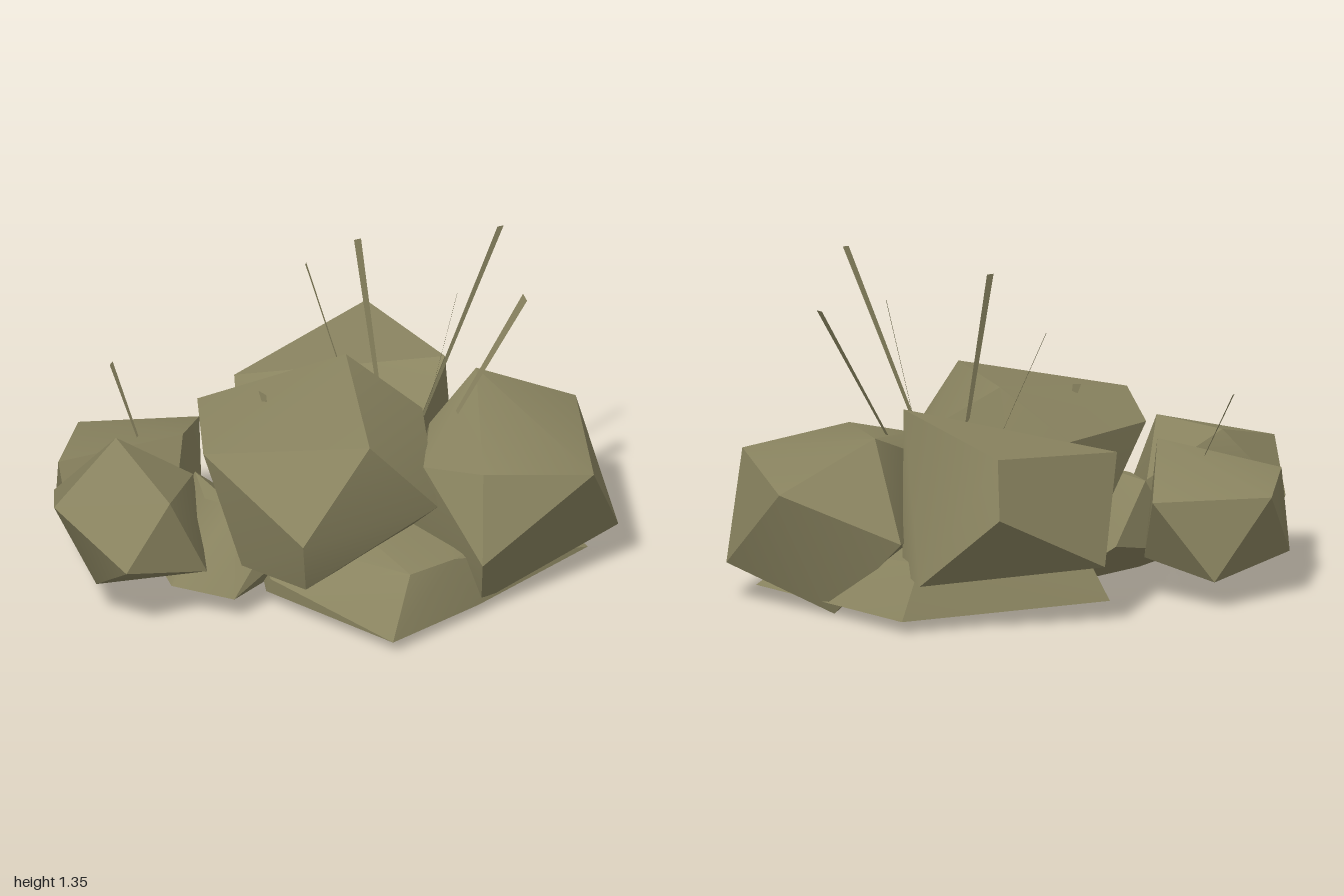
import * as THREE from 'three';
import { toCreasedNormals } from 'three/addons/utils/BufferGeometryUtils.js';
import { ConvexGeometry } from 'three/addons/geometries/ConvexGeometry.js';

const V = (p) => new THREE.Vector3(...p);

// Each boulder is the convex hull of a few corner points
const rocks = {
  centreRock: [
    [0.01, 0.805, -0.15], [0.32, 0.76, 0.41], [-0.29, 0.675, 0.53], [-0.48, 0.65, 0.1],
    [0.5, 0.43, 0.18], [0.15, 0.43, 0.65], [0.3, 0.62, -0.18], [-0.04, 0.6, -0.2],
    [-0.24, 0.6, -0.1], [0.13, 0.21, 0.57], [-0.15, 0.22, 0.5], [-0.3, 0.25, 0.1], [0.3, 0.2, 0],
  ],
  backRock: [
    [0.32, 0.75, -0.36], [-0.15, 0.68, -0.77], [-0.45, 0.6, -0.2], [-0.18, 0.47, -0.855],
    [-0.48, 0.23, -0.48], [0.14, 0.19, -0.8], [0.26, 0.2, -0.6], [0.3, 0.6, -0.18],
    [-0.37, 0.3, -0.06], [0.25, 0.15, -0.2],
  ],
  leftSideRock: [
    [0.66, 0.57, 0.13], [1, 0.51, -0.12], [0.4, 0.66, -0.47], [0.98, 0.145, -0.42],
    [0.7, 0.48, -0.71], [0.53, 0.01, -0.56], [0.7, 0.25, 0.24], [0.66, 0.05, 0.15],
    [0.42, 0.55, 0.12], [0.28, 0.25, 0], [0.26, 0.3, -0.62], [0.32, 0.55, -0.2],
  ],
  rightSideRock: [
    [-0.49, 0.56, 0.22], [-0.58, 0.41, -0.18], [-0.92, 0.44, 0.38], [-1, 0.17, 0.2],
    [-0.98, 0.41, 0.02], [-0.8, 0.11, -0.12], [-0.5, 0.16, 0], [-0.5, 0.2, 0.3], [-0.85, 0.15, 0.42],
  ],
  frontRock: [
    [-0.7, 0.575, 0.36], [-0.36, 0.535, 0.69], [-0.79, 0.47, 0.76], [-0.93, 0.33, 0.4],
    [-0.47, 0.3, 0.85], [-0.26, 0.21, 0.57], [-0.65, 0.14, 0.69], [-0.85, 0.17, 0.42],
    [-0.45, 0.4, 0.22], [-0.42, 0.2, 0.25],
  ],
  smallRock: [
    [-0.21, 0.4, 0.4], [-0.35, 0.39, 0.36], [-0.08, 0.29, 0.4], [-0.08, 0.17, 0.42],
    [-0.13, 0.005, 0.1], [-0.56, 0.11, 0.35], [-0.4, 0.12, 0.57], [-0.16, 0.1, 0.55],
    [-0.4, 0.05, 0.3], [-0.45, 0.4, 0.2], [-0.4, 0.2, -0.03],
  ],
  baseSlab: [
    [0.47, 0.05, 0.56], [0.66, 0.05, 0.18], [0.88, 0.055, -0.37], [0.21, 0.05, -0.79],
    [-0.45, 0.06, -0.3], [-0.1, 0.06, 0.38], [-0.08, 0.12, 0.39], [0.48, 0.26, 0.41],
    [0.59, 0.26, 0.24], [0.17, 0.25, -0.68], [-0.34, 0.25, -0.28], [0, 0.22, 0.28], [0.7, 0.2, -0.35],
  ],
};

// Grass blades: base, tip, width vector at the tip
const blades = [
  [[-0.67, 0.5, 0.21], [-0.8, 0.76, 0.15], [0, 0, 0.03]],
  [[0, 0.62, -0.2], [-0.21, 1.06, -0.31], [0, 0, 0.012]],
  [[0.14, 0.6, -0.17], [0.025, 1.25, -0.23], [0.02, 0, -0.02]],
  [[0.32, 0.6, -0.16], [0.43, 1.12, -0.2], [0.002, 0, 0.012]],
  [[0.31, 0.6, -0.16], [0.545, 1.35, -0.345], [0.018, 0, -0.016]],
  [[0.41, 0.58, -0.2], [0.655, 1.09, -0.31], [0.03, -0.005, 0.036]],
  [[-0.18, 0.69, 0.17], [-0.2, 0.76, 0.16], [0.035, -0.005, 0.012]],
];

// Flat strip that narrows toward its root
function bladeGeometry(base, tip, width) {
  const b = V(base), t = V(tip), w = V(width);
  const corners = [
    b.clone().addScaledVector(w, -0.25), b.clone().addScaledVector(w, 0.25),
    t.clone().addScaledVector(w, 0.5), t.clone().addScaledVector(w, -0.5),
  ];
  const geo = new THREE.BufferGeometry().setFromPoints(corners);
  geo.setIndex([0, 1, 2, 0, 2, 3]);
  geo.computeVertexNormals();
  return geo;
}

export function createModel() {
  const model = new THREE.Group();
  model.name = 'rockCluster';
  const stone = new THREE.MeshStandardMaterial({ color: 0x8a8460, side: THREE.DoubleSide });
  stone.name = 'olive stone';

  for (const [name, points] of Object.entries(rocks)) {
    const geo = toCreasedNormals(new ConvexGeometry(points.map(V)), 0.6);
    const mesh = new THREE.Mesh(geo, stone);
    mesh.name = name;
    model.add(mesh);
  }

  const grass = new THREE.Group();
  grass.name = 'grassBlades';
  blades.forEach((blade, i) => {
    const mesh = new THREE.Mesh(bladeGeometry(...blade), stone);
    mesh.name = `grassBlade${i + 1}`;
    grass.add(mesh);
  });
  model.add(grass);
  return model;
}
